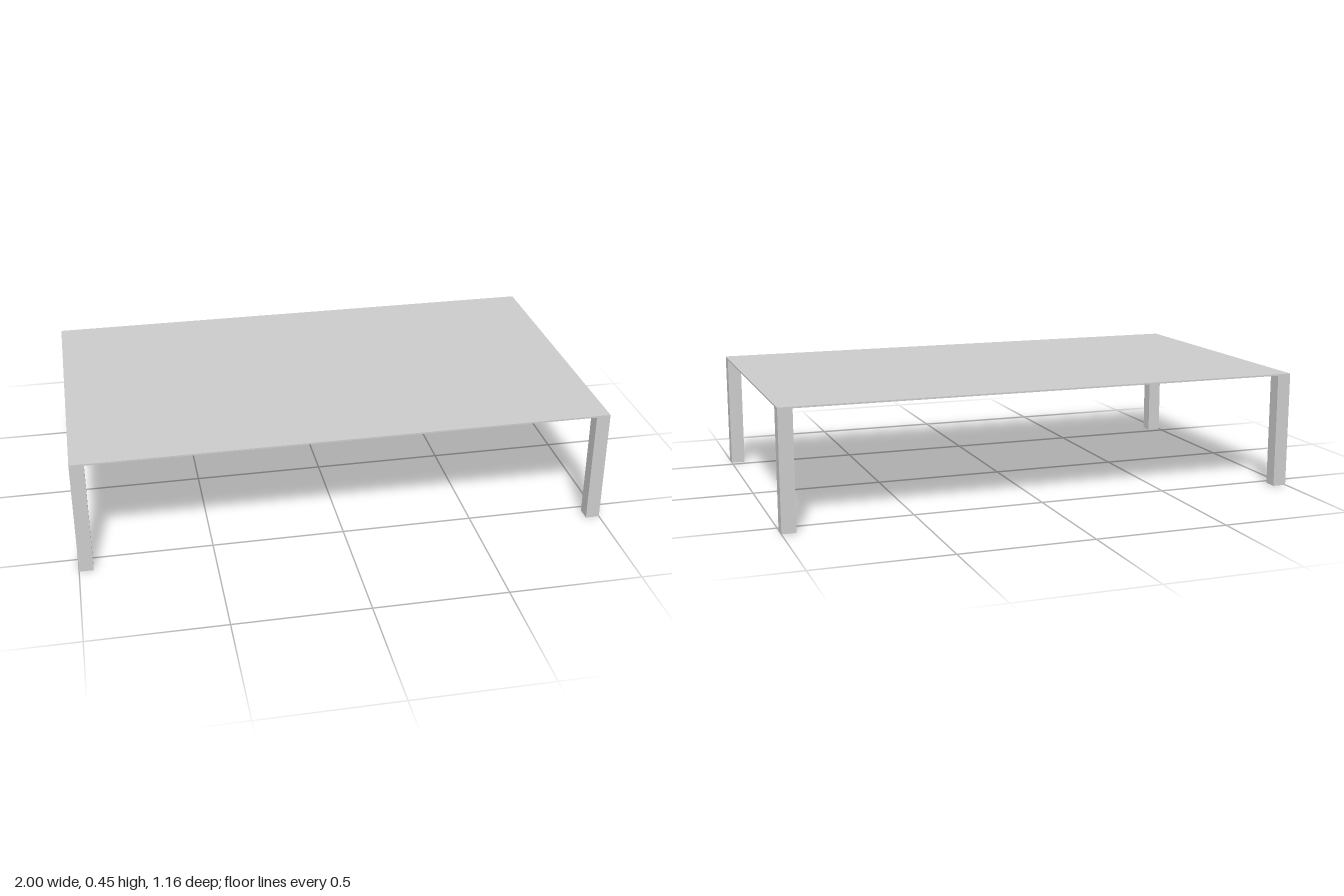
import * as THREE from 'three';

const WIDTH = 2, DEPTH = 1.162, HEIGHT = 0.446;
const TOP = 0.006, LEG = 0.053;

export function createModel() {
  const table = new THREE.Group();
  table.name = 'lowTable';
  const material = new THREE.MeshStandardMaterial({ color: 0xcccccc });

  const addBox = (name, w, h, d, x, y, z) => {
    const mesh = new THREE.Mesh(new THREE.BoxGeometry(w, h, d), material);
    mesh.name = name;
    mesh.position.set(x, y, z);
    table.add(mesh);
  };

  // Thin top sheet
  addBox('tabletop', WIDTH, TOP, DEPTH, 0, HEIGHT - TOP / 2, 0);

  // Square legs, flush with the corners of the top
  const legHeight = HEIGHT - TOP;
  for (const [side, sx] of [['Left', 1], ['Right', -1]]) {
    for (const [end, sz] of [['front', 1], ['back', -1]]) {
      addBox(`${end}${side}Leg`, LEG, legHeight, LEG,
        sx * (WIDTH - LEG) / 2, legHeight / 2, sz * (DEPTH - LEG) / 2);
    }
  }
  return table;
}
